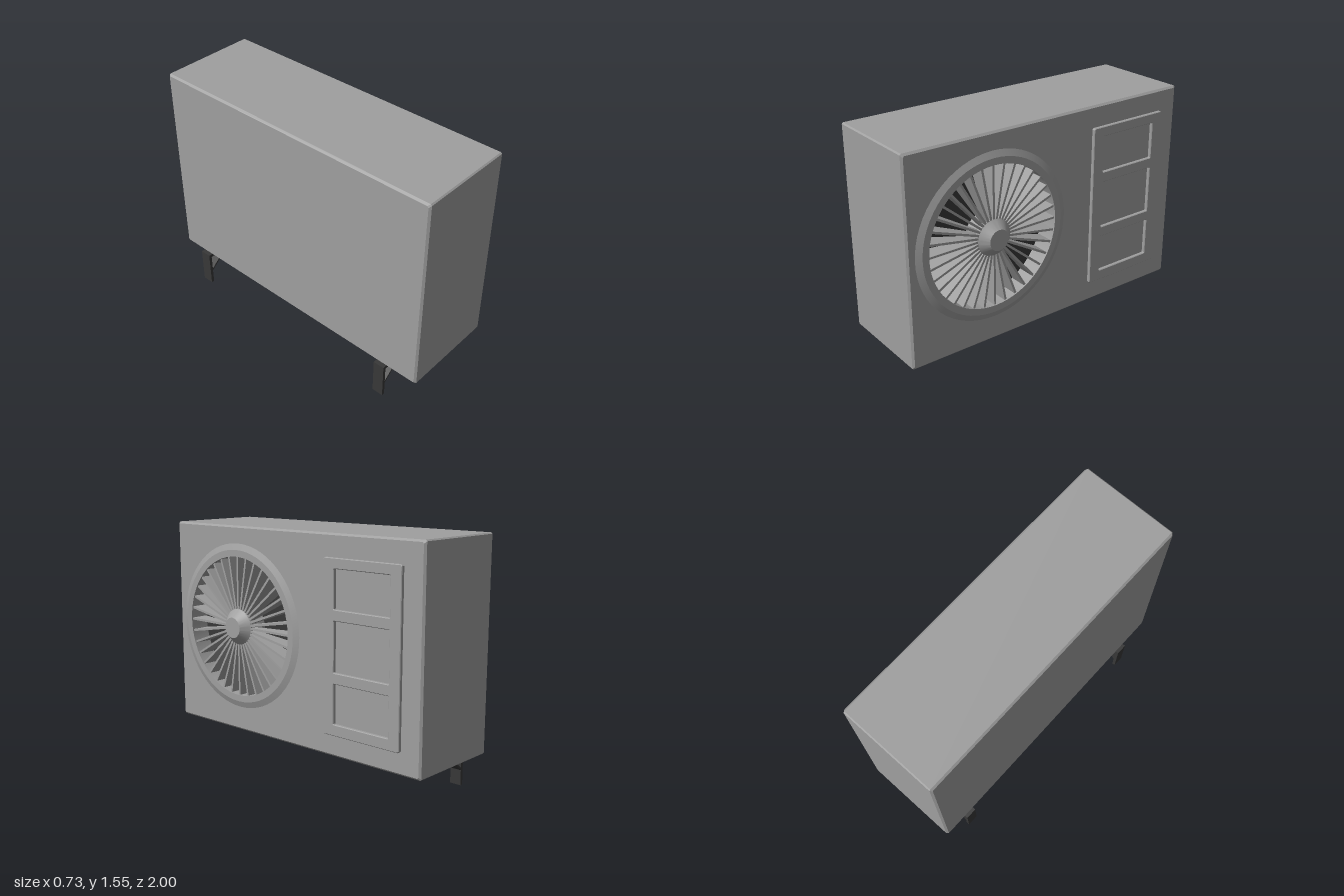
import * as THREE from 'three';
import { toCreasedNormals } from 'three/addons/utils/BufferGeometryUtils.js';

const grey = new THREE.MeshStandardMaterial({ color: 0x9f9f9f });
const dark = new THREE.MeshStandardMaterial({ color: 0x383838 });

function add(parent, name, geometry, material = grey) {
  const mesh = new THREE.Mesh(geometry, material);
  mesh.name = name;
  parent.add(mesh);
  return mesh;
}

// Rectangle path with chamfered corners
function rect(x0, y0, x1, y1, c, Type = THREE.Shape) {
  return new Type([
    [x0 + c, y0], [x1 - c, y0], [x1, y0 + c], [x1, y1 - c],
    [x1 - c, y1], [x0 + c, y1], [x0, y1 - c], [x0, y0 + c],
  ].map(p => new THREE.Vector2(...p)));
}

// Side walls through matching outlines at increasing z
function loft(sections) {
  const pos = [];
  for (let s = 0; s + 1 < sections.length; s++) {
    const [a, za] = sections[s], [b, zb] = sections[s + 1];
    for (let i = 0; i < a.length; i++) {
      const j = (i + 1) % a.length;
      const A = [a[i].x, a[i].y, za], B = [a[j].x, a[j].y, za];
      const C = [b[j].x, b[j].y, zb], D = [b[i].x, b[i].y, zb];
      pos.push(...A, ...B, ...C, ...A, ...C, ...D);
    }
  }
  const g = new THREE.BufferGeometry();
  g.setAttribute('position', new THREE.Float32BufferAttribute(pos, 3));
  g.computeVertexNormals();
  return g;
}

// Turned part whose axis points along z; points are [radius, z]
function turned(points) {
  const g = new THREE.LatheGeometry(points.map(p => new THREE.Vector2(...p)), 64);
  return toCreasedNormals(g.rotateX(Math.PI / 2), 0.25);
}

export function createModel() {
  const model = new THREE.Group();
  model.name = 'outdoorUnit';

  // The unit is built facing +z, then turned so its fan faces +x
  const unit = new THREE.Group();
  unit.name = 'unit';
  unit.rotation.y = Math.PI / 2;
  model.add(unit);

  const FAN_X = -0.427, FAN_Y = 0.92, OPENING = 0.445, BACK = -0.344, FRONT = 0.305;
  const outline = inset => rect(-1 + inset, 0.242 + inset, 1 - inset, 1.553 - inset, 0.008);

  // Casing: chamfered shell, back and front sheet with the fan opening
  const casing = new THREE.Group();
  casing.name = 'casing';
  unit.add(casing);
  add(casing, 'shell', loft([[0.012, BACK], [0, BACK + 0.012], [0, FRONT - 0.012], [0.012, FRONT]]
    .map(([inset, z]) => [outline(inset).getPoints().slice(0, 8), z])));
  add(casing, 'backSheet', new THREE.ShapeGeometry(outline(0.012)).rotateY(Math.PI).translate(0, 0, BACK));
  const front = outline(0.012);
  front.holes.push(new THREE.Path().absarc(FAN_X, FAN_Y, OPENING, 0, Math.PI * 2, true));
  add(casing, 'frontSheet', new THREE.ShapeGeometry(front, 32).translate(0, 0, FRONT));

  // Fan: raised ring, well, radial fins and hub
  const fan = new THREE.Group();
  fan.name = 'fan';
  fan.position.set(FAN_X, FAN_Y, 0);
  unit.add(fan);
  add(fan, 'fanRing', turned([[0.527, 0.304], [0.485, 0.32], [0.443, 0.32], [0.443, 0.19]]));
  add(fan, 'fanWell', new THREE.CircleGeometry(0.444, 64).translate(0, 0, 0.192), dark);
  add(fan, 'hub', turned([[0.115, 0.192], [0.115, 0.31], [0.1, 0.323], [0.065, 0.363], [0, 0.363]]));

  // Each fin is deep at the rim and shallow at the hub
  const fin = new THREE.Shape([[0.1, 0.312], [0.1, 0.27], [0.442, 0.2], [0.442, 0.312]]
    .map(p => new THREE.Vector2(...p)));
  const finGeometry = new THREE.ExtrudeGeometry(fin, { depth: 0.014, bevelEnabled: false })
    .translate(0, 0, -0.007).rotateX(Math.PI / 2);
  for (let i = 0; i < 36; i++) {
    add(fan, 'fin', finGeometry).rotation.z = i * Math.PI / 18;
  }

  // Service panel with softened edges and three recessed fields
  const panel = rect(0.306, 0.377, 0.865, 1.417, 0.008);
  for (const [y0, y1] of [[0.446, 0.688], [0.754, 1.057], [1.123, 1.355]]) {
    panel.holes.push(rect(0.386, y0, 0.789, y1, 0.004, THREE.Path));
  }
  add(unit, 'servicePanel', new THREE.ExtrudeGeometry(panel, {
    depth: 0.018, bevelThickness: 0.004, bevelSize: 0.004, bevelOffset: -0.004, bevelSegments: 1,
  }).translate(0, 0, 0.304));

  // Wall brackets: upright, arm and diagonal brace
  for (const z of [0.742, -0.798]) {
    const bracket = new THREE.Group();
    bracket.name = 'wallBracket';
    bracket.position.z = z;
    model.add(bracket);
    add(bracket, 'upright', new THREE.BoxGeometry(0.02, 0.24, 0.075), dark).position.set(-0.354, 0.12, 0);
    add(bracket, 'arm', new THREE.BoxGeometry(0.268, 0.022, 0.075), dark).position.set(-0.23, 0.23, 0);
    const brace = add(bracket, 'brace', new THREE.BoxGeometry(0.185, 0.012, 0.075), dark);
    brace.position.set(-0.278, 0.162, 0);
    brace.rotation.z = Math.atan2(0.12, 0.14);
  }
  return model;
}
